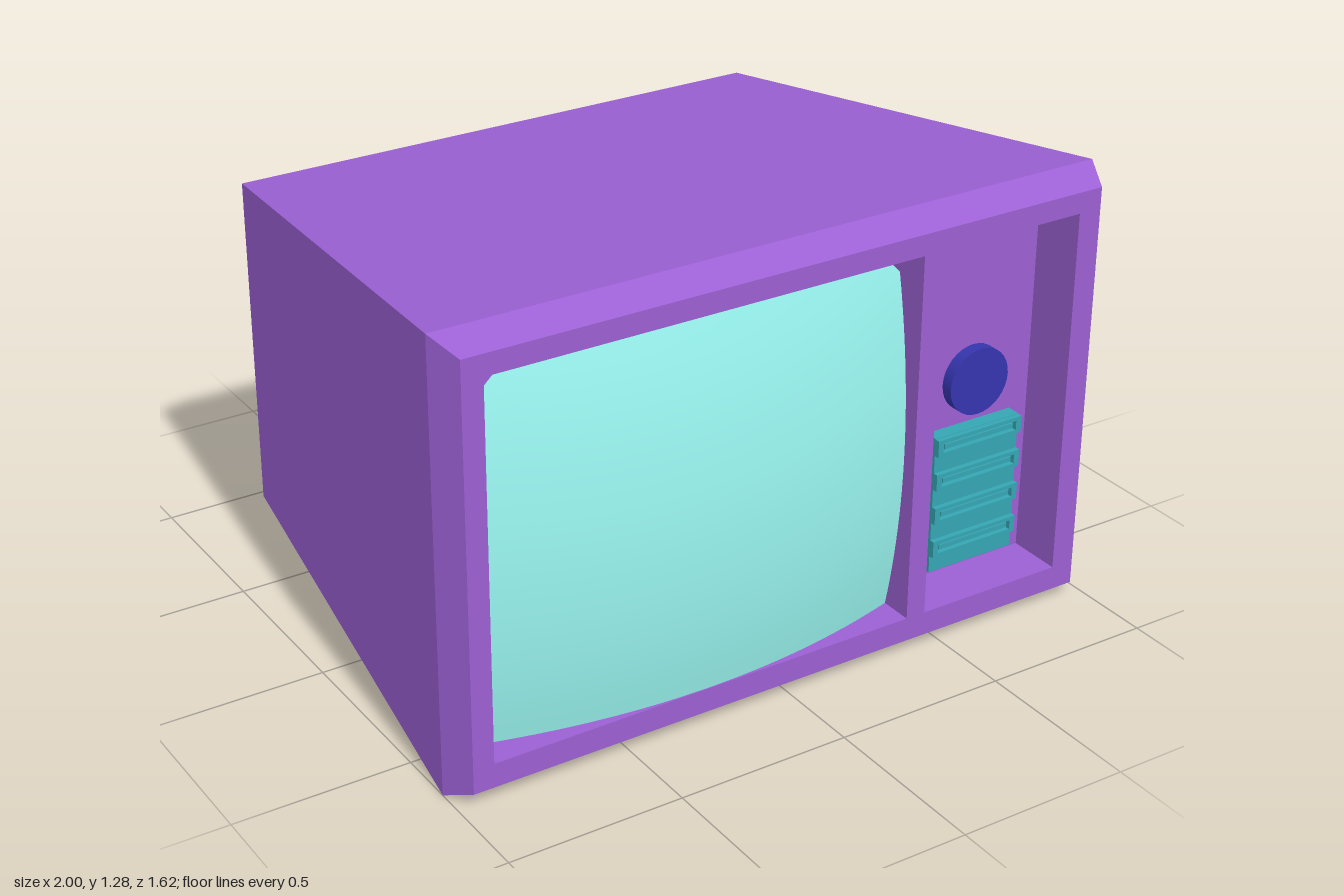
import * as THREE from 'three';

const mat = (color, extra = {}) => {
  const m = new THREE.MeshStandardMaterial({ color, ...extra });
  return m;
};

// Loft through rectangular rings [x0, x1, y0, y1, z], front to back, closed at the back
function rectLoft(rings) {
  const corners = rings.map(([x0, x1, y0, y1, z]) =>
    [[x0, y0, z], [x1, y0, z], [x1, y1, z], [x0, y1, z]]);
  const pos = [];
  const quad = (a, b, c, d) => pos.push(...a, ...b, ...c, ...a, ...c, ...d);
  for (let r = 0; r < corners.length - 1; r++) {
    const f = corners[r], b = corners[r + 1];
    for (let i = 0; i < 4; i++) {
      const j = (i + 1) % 4;
      quad(f[i], b[i], b[j], f[j]);
    }
  }
  const last = corners[corners.length - 1];
  quad(last[0], last[3], last[2], last[1]);
  const g = new THREE.BufferGeometry();
  g.setAttribute('position', new THREE.Float32BufferAttribute(pos, 3));
  g.computeVertexNormals();
  return g;
}

function rect(x0, x1, y0, y1, Type = THREE.Shape) {
  return new Type([[x0, y0], [x1, y0], [x1, y1], [x0, y1]].map(p => new THREE.Vector2(...p)));
}

export function createModel() {
  const group = new THREE.Group();
  const purple = mat(0x9b60d3);
  const teal = mat(0x35a5b2);
  const add = (name, geometry, material, x = 0, y = 0, z = 0, parent = group) => {
    const mesh = new THREE.Mesh(geometry, material);
    mesh.name = name;
    mesh.position.set(x, y, z);
    parent.add(mesh);
    return mesh;
  };

  const front = 0.76, floor = 0.6, bottom = 0.11, top = 1.18;

  // Tapered cabinet with bevelled front and back edges
  add('cabinet', rectLoft([
    [-0.96, 0.96, 0.04, 1.24, front],
    [-1, 1, 0, 1.28, 0.67],
    [-0.825, 0.808, 0.155, 1.13, -0.715],
    [-0.74, 0.715, 0.25, 1.04, -0.81],
  ]), purple);

  // Front frame with the screen opening and the control opening
  const frame = rect(-0.96, 0.96, 0.04, 1.24);
  frame.holes.push(rect(-0.9, 0.38, bottom, top, THREE.Path));
  frame.holes.push(rect(0.44, 0.89, bottom, top, THREE.Path));
  const frameGeo = new THREE.ExtrudeGeometry(frame, { depth: front - floor, bevelEnabled: false });
  const fp = frameGeo.attributes.position;
  for (let i = 0; i < fp.count; i++) {
    // slant the inner wall of the control opening
    if (Math.abs(fp.getX(i) - 0.44) < 0.001 && fp.getZ(i) < 0.01) fp.setX(i, 0.475);
  }
  frameGeo.computeVertexNormals();
  add('frontFrame', frameGeo, purple, 0, 0, floor);
  add('recessFloor', new THREE.ShapeGeometry(rect(-0.95, 0.95, 0.05, 1.23)), purple, 0, 0, floor);

  // Bulging screen with clipped upper corners
  const screen = new THREE.PlaneGeometry(1.28, 1, 32, 24);
  const sp = screen.attributes.position;
  for (let i = 0; i < sp.count; i++) {
    const x = sp.getX(i) - 0.26;
    const yMax = top - Math.max(0, -0.78 - x) - Math.max(0, x - 0.3);
    const y = bottom + (sp.getY(i) + 0.5) * (yMax - bottom);
    sp.setXYZ(i, x, y, 0.81 - 0.23 * (x + 0.26) ** 2 - 0.22 * (y - 0.6) ** 2);
  }
  screen.computeVertexNormals();
  add('screen', screen, mat(0x99f5f0, { side: THREE.DoubleSide }));

  // Tuning knob
  const knob = new THREE.CylinderGeometry(0.098, 0.098, 0.035, 32).rotateX(Math.PI / 2);
  add('knob', knob, mat(0x3535ae), 0.69, 0.69, floor + 0.0175);

  // Speaker grille: backing panel with four framed slats
  const grille = new THREE.Group();
  grille.name = 'speakerGrille';
  group.add(grille);
  add('grillePanel', new THREE.BoxGeometry(0.285, 0.415, 0.04), teal, 0.688, 0.35, floor + 0.02, grille);
  const slat = rect(-0.1425, 0.1425, -0.025, 0.025);
  slat.holes.push(rect(-0.125, 0.125, -0.014, 0.014, THREE.Path));
  const slatGeo = new THREE.ExtrudeGeometry(slat, { depth: 0.015, bevelEnabled: false });
  const barGeo = new THREE.BoxGeometry(0.235, 0.014, 0.01);
  for (let i = 0; i < 4; i++) {
    const y = 0.531 - i * 0.104;
    add('slatFrame', slatGeo, teal, 0.688, y, floor + 0.04, grille);
    add('slatBar', barGeo, teal, 0.688, y, floor + 0.045, grille);
  }
  return group;
}
